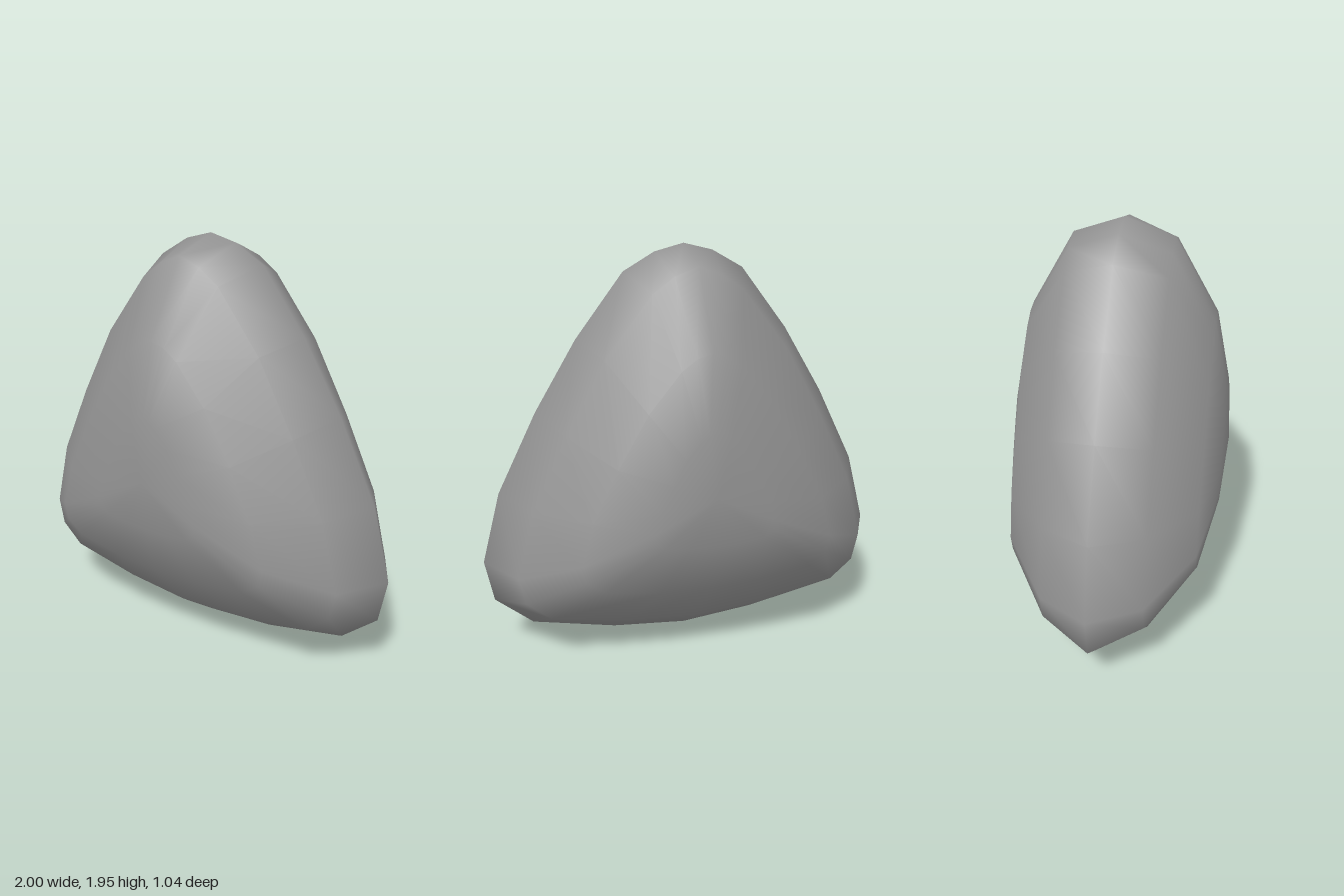
import * as THREE from 'three';
import { mergeVertices } from 'three/addons/utils/BufferGeometryUtils.js';

// Right halves of the cross-sections, bottom to top, from the front tip to the middle
const TIP = Array.from({ length: 11 }, () => [0, 0.88]);
const INNER = [
  [0, 0.64], [0.12, 0.645], [0.24, 0.66], [0.28, 0.69], [0.285, 0.735], [0.26, 0.83],
  [0.2, 0.955], [0.14, 1.07], [0.07, 1.15], [0.035, 1.17], [0, 1.18],
];
const SHOULDER = [
  [0, 0.4], [0.24, 0.41], [0.5, 0.45], [0.585, 0.51], [0.605, 0.59], [0.55, 0.79],
  [0.43, 1.03], [0.29, 1.27], [0.14, 1.45], [0.07, 1.5], [0, 1.52],
];
const OUTER = [
  [0, 0.16], [0.34, 0.185], [0.72, 0.25], [0.835, 0.345], [0.865, 0.475], [0.785, 0.795],
  [0.62, 1.14], [0.435, 1.475], [0.215, 1.755], [0.11, 1.83], [0, 1.87],
];
const RIM = [
  [0, 0], [0.37, 0.035], [0.78, 0.125], [0.96, 0.275], [1, 0.48], [0.91, 0.82],
  [0.72, 1.2], [0.52, 1.53], [0.29, 1.83], [0.14, 1.915], [0, 1.95],
];
const FRONT = [[0.52, TIP], [0.5, INNER], [0.43, SHOULDER], [0.23, OUTER]];

// Closed cushion: mirrored cross-sections joined along z, ending in a point on each side
function cushionGeometry() {
  const back = FRONT.map(([z, half]) => [-z, half]).reverse();
  const layers = [...FRONT, [0, RIM], ...back];
  const n = 2 * RIM.length - 2;
  const positions = [];
  const index = [];

  for (const [z, half] of layers) {
    const mirrored = half.slice(1, -1).reverse().map(([x, y]) => [-x, y]);
    for (const [x, y] of [...half, ...mirrored]) positions.push(x, y, z);
  }
  for (let i = 0; i < layers.length - 1; i++) {
    for (let j = 0; j < n; j++) {
      const k = (j + 1) % n;
      const a = i * n + j, b = a + n, c = (i + 1) * n + k, d = i * n + k;
      // Single triangles where a layer closes to a point
      if (i > 0) index.push(a, b, d);
      if (i < layers.length - 2) index.push(b, c, d);
    }
  }
  const geometry = new THREE.BufferGeometry();
  geometry.setAttribute('position', new THREE.Float32BufferAttribute(positions, 3));
  geometry.setIndex(index);
  const merged = mergeVertices(geometry, 1e-4);
  merged.computeVertexNormals();
  return merged;
}

export function createModel() {
  const group = new THREE.Group();
  group.name = 'roundedTriangle';
  const material = new THREE.MeshStandardMaterial({ color: 0x959595 });
  const body = new THREE.Mesh(cushionGeometry(), material);
  body.name = 'body';
  group.add(body);
  return group;
}
